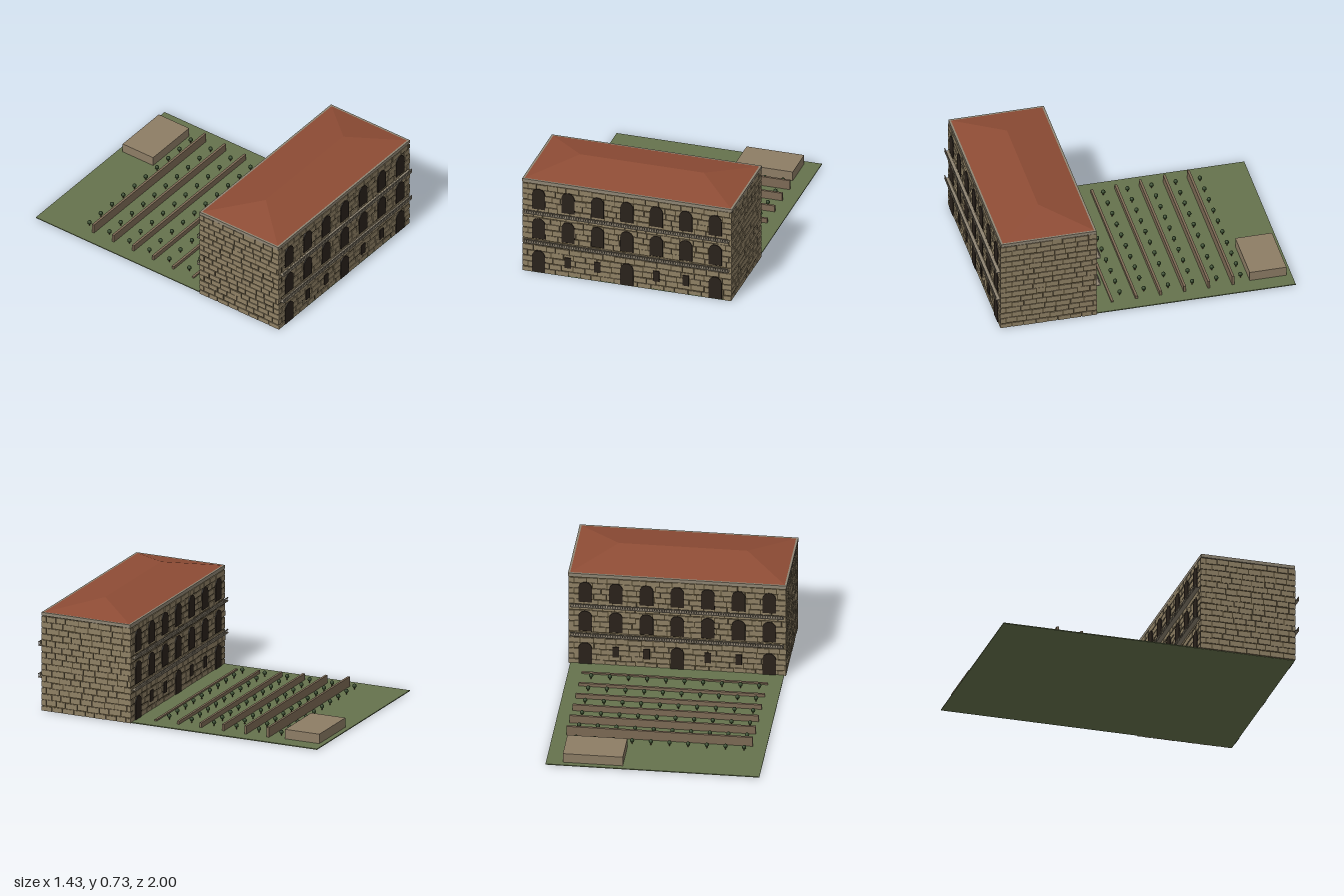
import * as THREE from 'three';
import { mergeGeometries } from 'three/addons/utils/BufferGeometryUtils.js';
import { ConvexGeometry } from 'three/addons/geometries/ConvexGeometry.js';

const mat = (color) => new THREE.MeshStandardMaterial({ color });
const M = {
  stone: mat(0x8f8064), mortar: mat(0x51462f), roof: mat(0x8e4c35), dark: mat(0x2a221b),
  trim: mat(0x8f8573), grass: mat(0x66734d), terrace: mat(0x7d6a55), shed: mat(0x8d7d65),
  trunk: mat(0x4a3623), leaf: mat(0x2f4225),
};

// small seeded generator for the irregular masonry
let seed = 7;
const rand = () => {
  seed = (seed * 16807) % 2147483647;
  return seed / 2147483647;
};

const boxGeo = (x0, x1, y0, y1, z0, z1) =>
  new THREE.BoxGeometry(x1 - x0, y1 - y0, z1 - z0)
    .translate((x0 + x1) / 2, (y0 + y1) / 2, (z0 + z1) / 2);

function add(parent, name, geometry, material) {
  const mesh = new THREE.Mesh(geometry, material);
  mesh.name = name;
  parent.add(mesh);
  return mesh;
}

// running-bond stones on a wall facing +z whose surface lies at z = 0
function stoneWall(length, height) {
  const parts = [], rows = 16, rowH = height / rows, gap = 0.007;
  for (let r = 0; r < rows; r++) {
    let x = -length / 2;
    let width = r % 2 ? 0.04 : 0.08;
    while (x < length / 2 - 0.01) {
      const end = Math.min(x + width, length / 2);
      const y = r * rowH + (rand() - 0.5) * 0.006;
      parts.push(boxGeo(x, end - gap, Math.max(0.002, y), y + rowH - gap, -0.004, 0.004 + rand() * 0.003));
      x = end;
      width = 0.06 + rand() * 0.035;
    }
  }
  return mergeGeometries(parts);
}

// round-headed opening panel, base at y = 0
function archGeo(width, height, depth) {
  const r = width / 2;
  const s = new THREE.Shape();
  s.moveTo(-r, 0);
  s.lineTo(r, 0);
  s.lineTo(r, height - r);
  s.absarc(0, height - r, r, 0, Math.PI, false);
  s.lineTo(-r, 0);
  return new THREE.ExtrudeGeometry(s, { depth, bevelEnabled: false, curveSegments: 10 });
}

// one long facade facing +z: masonry, openings and two balconies
function facade(name) {
  const g = new THREE.Group();
  g.name = name;
  add(g, 'facadeStones', stoneWall(1.42, 0.65), M.stone);

  const arches = [], smallWindows = [];
  for (let i = -3; i <= 3; i++) {
    const x = i * 0.2;
    arches.push(archGeo(0.088, 0.147, 0.013).translate(x, 0.465, -0.002));
    arches.push(archGeo(0.088, 0.147, 0.013).translate(x, 0.25, -0.002));
    if (i % 3 === 0) arches.push(archGeo(0.088, 0.155, 0.013).translate(x, 0.006, -0.002));
    else smallWindows.push(boxGeo(x - 0.021, x + 0.021, 0.065, 0.14, -0.002, 0.011));
  }
  add(g, 'archedWindowsAndDoors', mergeGeometries(arches), M.dark);
  add(g, 'smallWindows', mergeGeometries(smallWindows), M.dark);

  for (const y of [0.218, 0.434]) {
    const parts = [
      boxGeo(-0.695, 0.695, y, y + 0.005, 0, 0.035),
      boxGeo(-0.695, 0.695, y + 0.024, y + 0.028, 0.03, 0.035),
    ];
    for (let i = 0; i <= 86; i++) {
      const x = -0.69 + (i * 1.38) / 86;
      parts.push(boxGeo(x - 0.002, x + 0.002, y + 0.005, y + 0.024, 0.031, 0.034));
    }
    add(g, 'balcony', mergeGeometries(parts), M.trim);
  }
  return g;
}

function building() {
  const g = new THREE.Group();
  g.name = 'building';
  add(g, 'wallCore', boxGeo(-0.704, 0.704, 0.002, 0.65, 0.335, 0.965), M.mortar);

  const front = facade('frontFacade');
  front.position.z = 0.965;
  const back = facade('backFacade');
  back.position.z = 0.335;
  back.rotation.y = Math.PI;
  g.add(front, back);

  // windowless end walls
  for (const side of [-1, 1]) {
    const end = add(g, 'endWallStones', stoneWall(0.64, 0.65), M.stone);
    end.position.set(side * 0.704, 0, 0.65);
    end.rotation.y = (side * Math.PI) / 2;
  }

  // cornice and hipped roof
  add(g, 'cornice', boxGeo(-0.713, 0.713, 0.648, 0.67, 0.332, 0.968), M.trim);
  const points = [];
  for (const sx of [-1, 1]) {
    for (const sz of [-1, 1]) points.push(new THREE.Vector3(sx * 0.708, 0.668, 0.65 + sz * 0.314));
    points.push(new THREE.Vector3(sx * 0.42, 0.733, 0.65));
  }
  add(g, 'hippedRoof', new ConvexGeometry(points), M.roof);
  return g;
}

function garden() {
  const g = new THREE.Group();
  g.name = 'garden';
  add(g, 'lawn', boxGeo(-0.697, 0.697, 0, 0.006, -1, 0.97), M.grass);
  add(g, 'outbuilding', boxGeo(0.197, 0.588, 0.003, 0.07, -0.965, -0.72), M.shed);

  // terrace walls rise row by row, each with a line of small trees behind
  const walls = [], trunks = [], crowns = [];
  for (let r = 0; r < 6; r++) {
    const z = 0.2 - r * 0.161;
    walls.push(boxGeo(-0.607, 0.607, 0.001, 0.016 + r * 0.011, z - 0.008, z + 0.008));
    for (let i = 0; i < 10; i++) {
      const x = -0.558 + i * 0.1217;
      trunks.push(new THREE.CylinderGeometry(0.003, 0.004, 0.02, 6).translate(x, 0.014, z - 0.065));
      crowns.push(new THREE.SphereGeometry(0.014, 10, 8).translate(x, 0.031, z - 0.065));
    }
  }
  add(g, 'terraceWalls', mergeGeometries(walls), M.terrace);
  add(g, 'treeTrunks', mergeGeometries(trunks), M.trunk);
  add(g, 'treeCrowns', mergeGeometries(crowns), M.leaf);
  return g;
}

export function createModel() {
  seed = 7;
  const model = new THREE.Group();
  model.name = 'stoneVillaWithGarden';
  model.add(building(), garden());
  return model;
}
